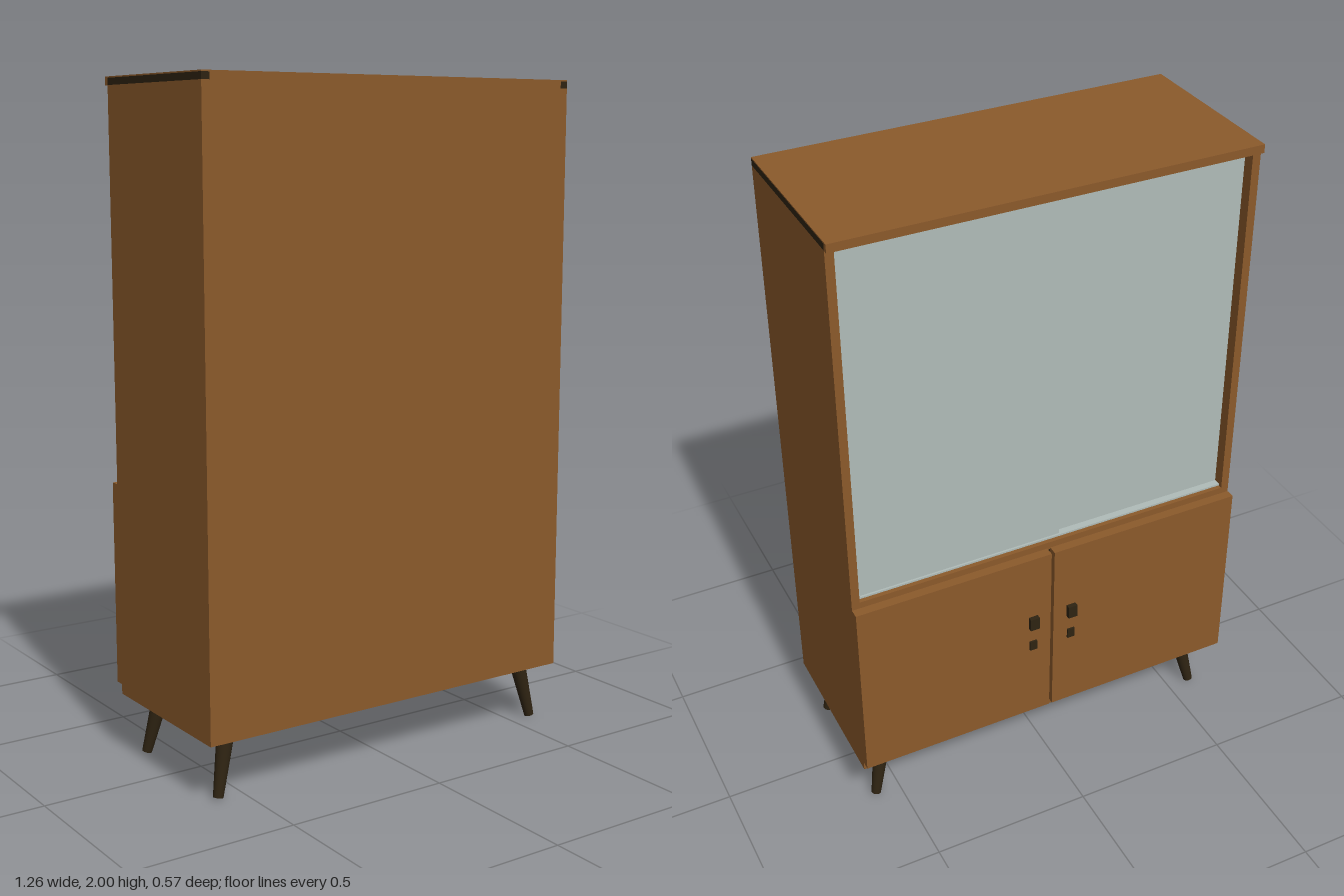
import * as THREE from 'three';

const wood = new THREE.MeshStandardMaterial({ color: 0x8b5a2b });
wood.name = 'brown wood';
const dark = new THREE.MeshStandardMaterial({ color: 0x2e2312 });
dark.name = 'dark wood';
const glass = new THREE.MeshStandardMaterial({ color: 0xb0bcb8 });
glass.name = 'grey glass';

// Box given by its minimum and maximum on each axis
function board(parent, name, material, [x0, x1], [y0, y1], [z0, z1]) {
  const mesh = new THREE.Mesh(new THREE.BoxGeometry(x1 - x0, y1 - y0, z1 - z0), material);
  mesh.position.set((x0 + x1) / 2, (y0 + y1) / 2, (z0 + z1) / 2);
  mesh.name = name;
  parent.add(mesh);
}

// Tapered round leg running from a top point to a foot point
function leg(parent, name, top, foot) {
  const axis = top.clone().sub(foot);
  const mesh = new THREE.Mesh(new THREE.CylinderGeometry(0.026, 0.015, axis.length(), 24), dark);
  mesh.quaternion.setFromUnitVectors(new THREE.Vector3(0, 1, 0), axis.normalize());
  mesh.position.copy(top).add(foot).multiplyScalar(0.5);
  mesh.name = name;
  parent.add(mesh);
}

export function createModel() {
  const cabinet = new THREE.Group();
  cabinet.name = 'cabinet';
  const W = 0.63, inner = 0.605, front = 0.285, back = -0.243;

  // Carcass: large panel, floor, middle board, top
  board(cabinet, 'largePanel', wood, [-inner, inner], [0.18, 1.996], [0.265, front]);
  board(cabinet, 'floorBoard', wood, [-inner, inner], [0.18, 0.205], [back, 0.265]);
  board(cabinet, 'middleBoard', wood, [-inner, inner], [0.82, 0.846], [back, 0.265]);
  board(cabinet, 'topBoard', wood, [-inner, inner], [1.975, 1.996], [back, 0.265]);
  board(cabinet, 'topSurface', wood, [-W, W], [1.996, 2], [back, front]);
  board(cabinet, 'topLip', wood, [-W, W], [1.975, 2], [-0.258, back]);
  board(cabinet, 'innerShelf', wood, [-inner, inner], [1.39, 1.41], [-0.17, 0.265]);
  board(cabinet, 'divider', dark, [-0.012, 0.012], [0.205, 0.82], [back, 0.265]);

  // Sliding glass panes, one behind the other, with their tracks
  board(cabinet, 'nearPane', glass, [-0.045, inner], [0.85, 1.968], [-0.223, -0.217]);
  board(cabinet, 'farPane', glass, [-inner, 0.0], [0.85, 1.96], [-0.207, -0.201]);
  board(cabinet, 'lowerTrack', glass, [-inner, inner], [0.846, 0.852], [-0.229, -0.195]);
  board(cabinet, 'upperTrack', wood, [-inner, inner], [1.958, 1.975], [-0.216, -0.195]);

  for (const s of [-1, 1]) {
    const side = s > 0 ? 'left' : 'right';
    const span = (a, b) => (s > 0 ? [a, b] : [-b, -a]);
    // Side wall with its dark end strip
    board(cabinet, side + 'Wall', wood, span(inner, W), [0.18, 1.976], [back, front]);
    board(cabinet, side + 'EndStrip', dark, span(inner, W), [1.976, 1.996], [back, front]);
    // Door, handle and lock plate
    board(cabinet, side + 'Door', wood, span(0.005, W), [0.21, 0.825], [-0.272, back]);
    board(cabinet, side + 'Handle', dark, span(0.05, 0.08), [0.56, 0.603], [-0.287, -0.272]);
    board(cabinet, side + 'Lock', dark, span(0.053, 0.077), [0.472, 0.505], [-0.278, -0.272]);
    // Splayed legs
    leg(cabinet, side + 'FrontLeg', new THREE.Vector3(s * 0.539, 0.186, 0.212), new THREE.Vector3(s * 0.578, 0.004, 0.232));
    leg(cabinet, side + 'BackLeg', new THREE.Vector3(s * 0.539, 0.186, -0.164), new THREE.Vector3(s * 0.578, 0.004, -0.19));
  }
  return cabinet;
}
